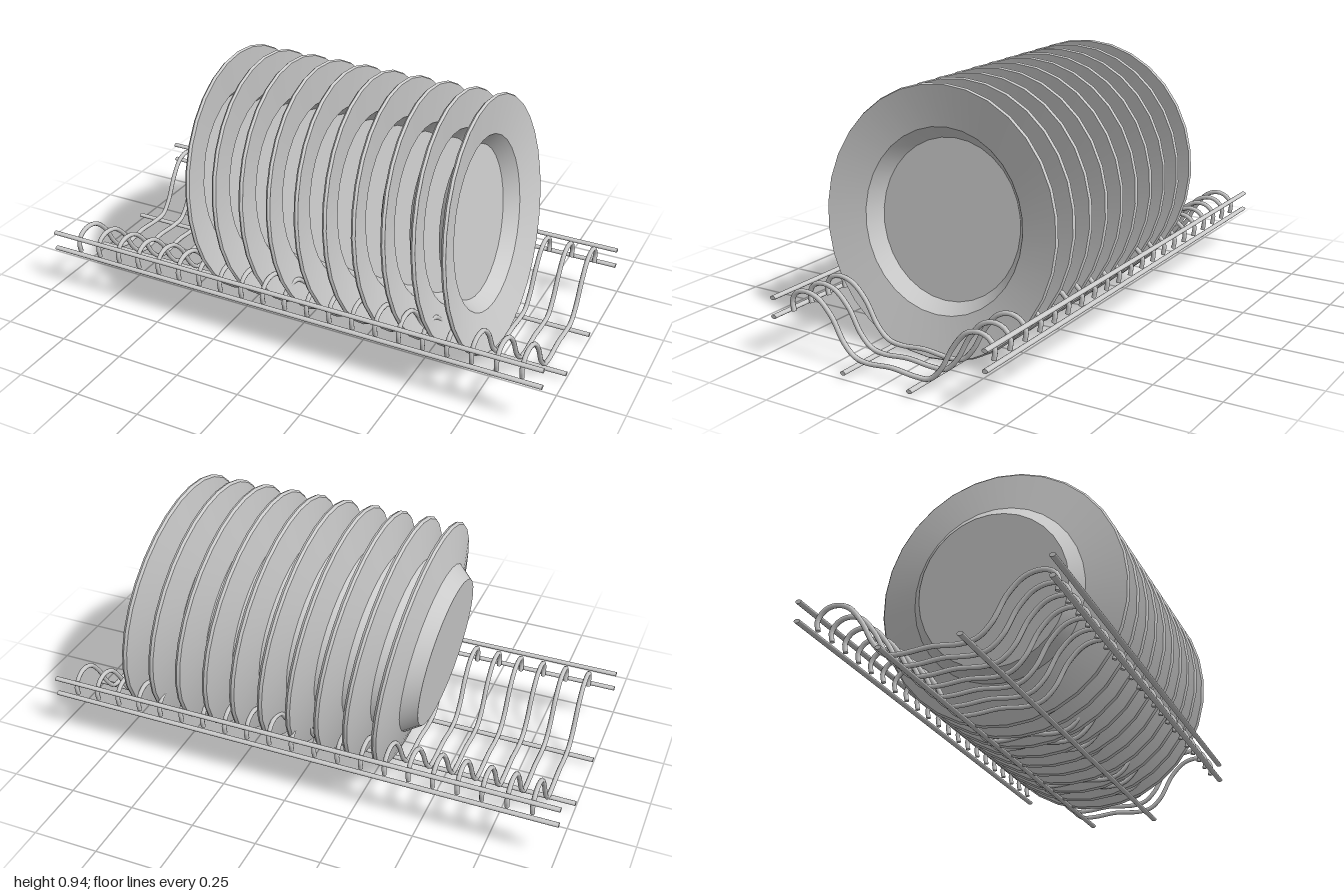
import * as THREE from 'three';
import { toCreasedNormals } from 'three/addons/utils/BufferGeometryUtils.js';

const grey = new THREE.MeshStandardMaterial({ color: 0xcccccc });

// Row of tilted plates, hollow side facing +x
function makePlates() {
  const group = new THREE.Group();
  group.name = 'plates';
  const profile = [
    [0, -0.098], [0.285, -0.098], [0.327, -0.044], [0.468, -0.012], [0.475, -0.003],
    [0.47, 0.006], [0.325, -0.026], [0.285, -0.078], [0, -0.078],
  ].map(([r, h]) => new THREE.Vector2(r, h));
  const geometry = toCreasedNormals(new THREE.LatheGeometry(profile, 32), 0.5);
  for (let i = 0; i < 10; i++) {
    const plate = new THREE.Mesh(geometry, grey);
    plate.name = `plate${i + 1}`;
    plate.rotation.z = -Math.PI / 2 + 0.126;
    plate.position.set(-0.34 + i * 0.11, 0.476, 0);
    group.add(plate);
  }
  return group;
}

// Long rails running the whole length of the rack
function makeRails() {
  const group = new THREE.Group();
  group.name = 'rails';
  const geometry = new THREE.CylinderGeometry(0.01, 0.01, 2, 12);
  geometry.rotateZ(Math.PI / 2);
  geometry.scale(1, 0.75, 1.1);
  const spots = [
    [0.233, 0.436], [0.165, 0.436], [0.233, -0.424], [0.165, -0.424],
    [0.026, 0.142], [0.026, -0.13],
  ];
  for (const [y, z] of spots) {
    const rail = new THREE.Mesh(geometry, grey);
    rail.name = 'rail';
    rail.position.set(0, y, z);
    group.add(rail);
  }
  return group;
}

// Bent cross wires that cradle the plates
function makeWires() {
  const group = new THREE.Group();
  group.name = 'crossWires';
  const path = new THREE.CatmullRomCurve3([
    [0.165, 0.414], [0.2, 0.42], [0.232, 0.403], [0.246, 0.365], [0.234, 0.308],
    [0.18, 0.25], [0.095, 0.2], [0.053, 0.155], [0.042, 0.1], [0.049, 0],
    [0.041, -0.1], [0.046, -0.155], [0.09, -0.2], [0.178, -0.25], [0.236, -0.3],
    [0.251, -0.35], [0.238, -0.388], [0.205, -0.41], [0.17, -0.405],
  ].map(([y, z]) => new THREE.Vector3(0, y, z)));
  const geometry = new THREE.TubeGeometry(path, 72, 0.009, 8);
  // Flat caps closing both wire ends
  const cap = new THREE.CircleGeometry(0.009, 8);
  const ends = [0, 1].map((t) => ({
    position: path.getPointAt(t),
    facing: path.getTangentAt(t).multiplyScalar(t ? 1 : -1),
  }));
  for (let i = 0; i < 21; i++) {
    const wire = new THREE.Mesh(geometry, grey);
    wire.name = 'crossWire';
    wire.position.x = -0.9 + i * 0.091;
    for (const { position, facing } of ends) {
      const end = new THREE.Mesh(cap, grey);
      end.name = 'wireEnd';
      end.position.copy(position);
      end.quaternion.setFromUnitVectors(new THREE.Vector3(0, 0, 1), facing);
      wire.add(end);
    }
    group.add(wire);
  }
  return group;
}

export function createModel() {
  const model = new THREE.Group();
  model.name = 'dishRackWithPlates';
  model.add(makePlates(), makeRails(), makeWires());
  return model;
}
